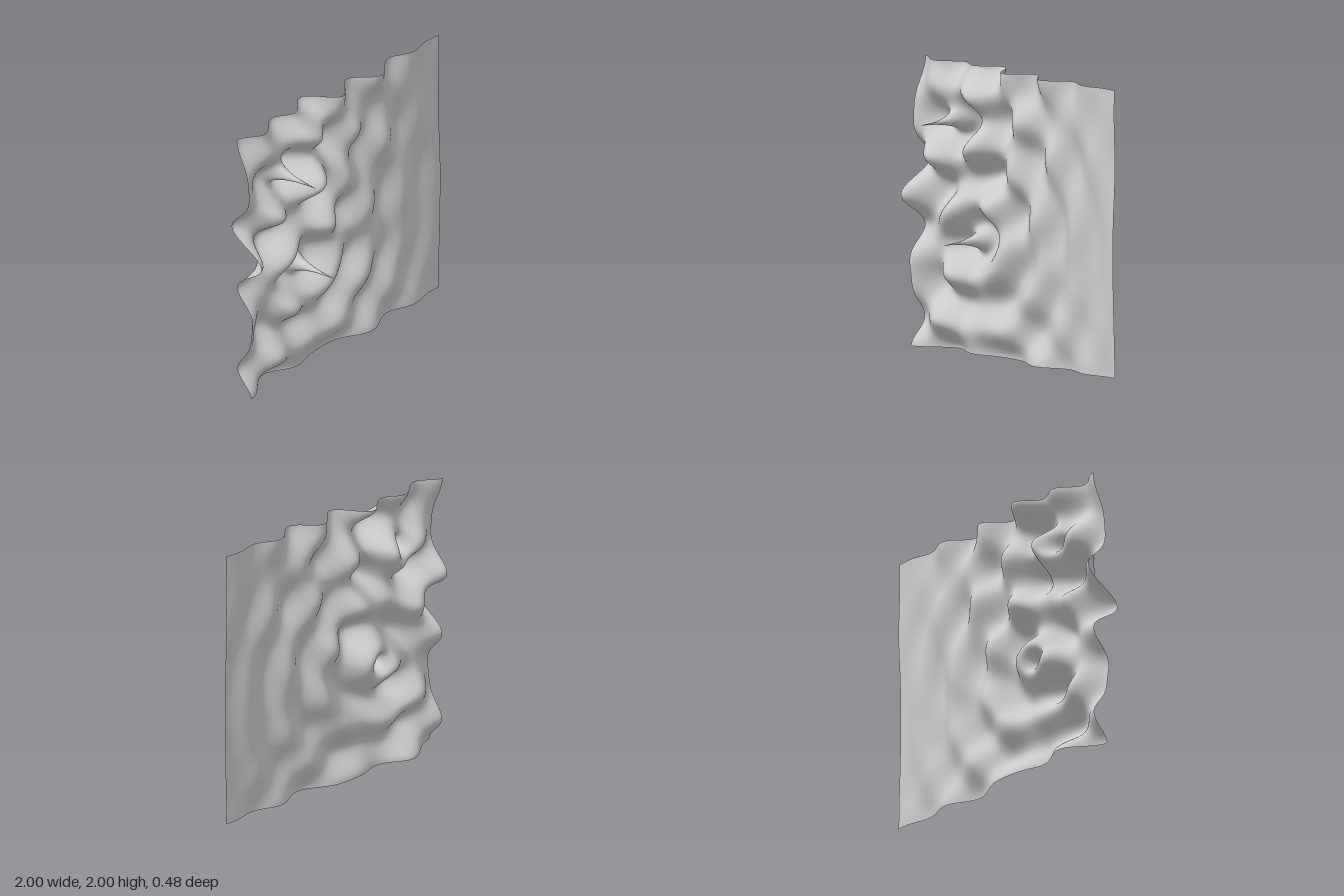
import * as THREE from 'three';

// Two point sources on the sheet: [x, y]
const SOURCES = [[-0.62, 1.6], [-0.41, 0.79]];
const WAVE_NUMBER = 17.5;
const AMPLITUDE = 0.0305;
const REST_Z = -0.06;
const SEGMENTS = 200;

// Each source also echoes from the free edges at x = -1, y = 0 and y = 2
const EMITTERS = SOURCES.flatMap(([x, y]) =>
  [x, -2 - x].flatMap((ex) => [y, -y, 4 - y].map((ey) => [ex, ey])));

// Circular wave: sharp peak at its centre, fading to nothing at the wave front
function ring(r) {
  const front = 1 - THREE.MathUtils.smoothstep(r, 0.8, 1.9);
  const phase = WAVE_NUMBER * r + 0.65 * (1 - Math.exp(-r / 0.05));
  return (AMPLITUDE * front * Math.cos(phase)) / Math.sqrt(r + 0.007);
}

function height(x, y) {
  return EMITTERS.reduce((z, [ex, ey]) => z + ring(Math.hypot(x - ex, y - ey)), REST_Z);
}

export function createModel() {
  const group = new THREE.Group();
  group.name = 'waveInterferencePanel';

  // Upright square sheet displaced by the interfering waves
  const geometry = new THREE.PlaneGeometry(2, 2, SEGMENTS, SEGMENTS);
  geometry.translate(0, 1, 0);
  const pos = geometry.attributes.position;
  for (let i = 0; i < pos.count; i++) {
    pos.setZ(i, height(pos.getX(i), pos.getY(i)));
  }
  geometry.computeVertexNormals();

  const material = new THREE.MeshStandardMaterial({ color: 0xcccccc, side: THREE.DoubleSide });
  const sheet = new THREE.Mesh(geometry, material);
  sheet.name = 'rippledSheet';
  group.add(sheet);
  return group;
}
